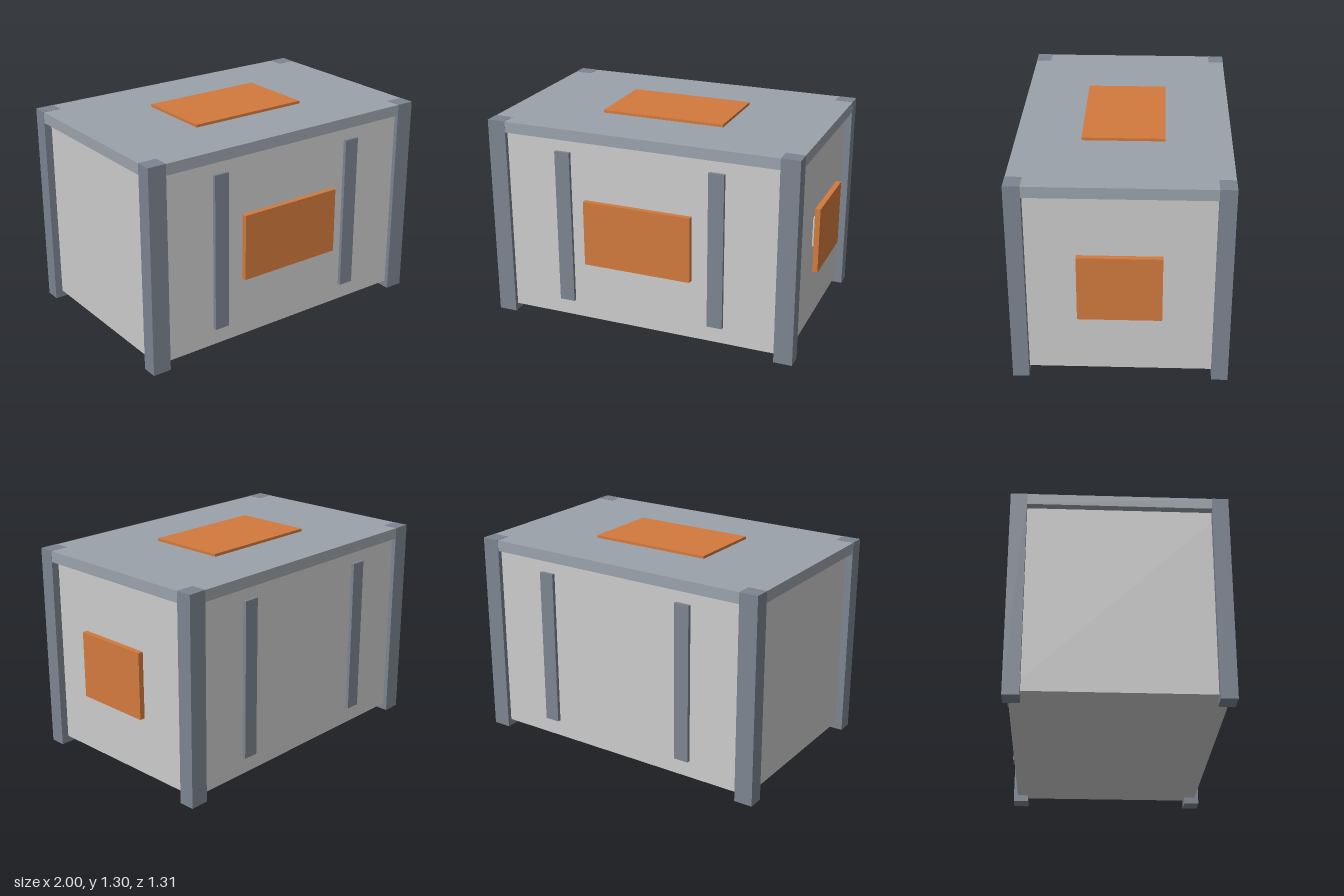
import * as THREE from 'three';

const material = (color) => new THREE.MeshStandardMaterial({ color });

export function createModel() {
  const model = new THREE.Group();
  const shell = material(0xcccccc);
  const steel = material(0x7c8490);
  const cover = material(0x9aa2aa);
  const orange = material(0xd27a3d);

  // Box given by its minimum and maximum on each axis
  const box = (name, mat, [x0, x1], [y0, y1], [z0, z1], parent = model) => {
    const mesh = new THREE.Mesh(new THREE.BoxGeometry(x1 - x0, y1 - y0, z1 - z0), mat);
    mesh.position.set((x0 + x1) / 2, (y0 + y1) / 2, (z0 + z1) / 2);
    mesh.name = name;
    parent.add(mesh);
  };

  // The crate sits slightly off centre because the panels stick out on +x and +z
  const crate = new THREE.Group();
  crate.name = 'crate';
  crate.position.set(-0.0125, 0, -0.0125);
  model.add(crate);

  const halfW = 0.9875, halfD = 0.6425, height = 1.287;
  const bodyW = 0.94, bodyD = 0.615;

  // Body and lid; the lid is a hair smaller so the post faces stay on top
  box('body', shell, [-bodyW, bodyW], [0.043, 1.22], [-bodyD, bodyD], crate);
  box('lid', cover, [-halfW + 0.001, halfW - 0.001], [1.217, height - 0.001],
    [-halfD + 0.001, halfD - 0.001], crate);

  // Corner posts, and two ribs on both the front and the back
  const span = (side, a, b) => (side > 0 ? [a, b] : [-b, -a]);
  for (const sx of [-1, 1]) {
    for (const sz of [-1, 1]) {
      box('cornerPost', steel, span(sx, halfW - 0.116, halfW), [0, height],
        span(sz, halfD - 0.098, halfD), crate);
      box('rib', steel, span(sx, 0.445, 0.542), [0.15, 1.138],
        span(sz, bodyD - 0.01, bodyD + 0.022), crate);
    }
  }

  // Raised panels on the front, left side and lid
  box('frontPanel', orange, [-0.358, 0.332], [0.437, 0.852], [0.622, 0.655]);
  box('sidePanel', orange, [0.967, 1], [0.437, 0.852], [-0.258, 0.235]);
  box('topPanel', orange, [-0.407, 0.38], [height - 0.01, 1.303], [-0.26, 0.235]);

  // Small mounts joining the front and side panels to the body
  box('frontPanelMount', shell, [-0.2, 0.175], [0.55, 0.74], [0.59, 0.63]);
  box('sidePanelMount', shell, [0.92, 0.975], [0.55, 0.74], [-0.14, 0.115]);

  return model;
}
